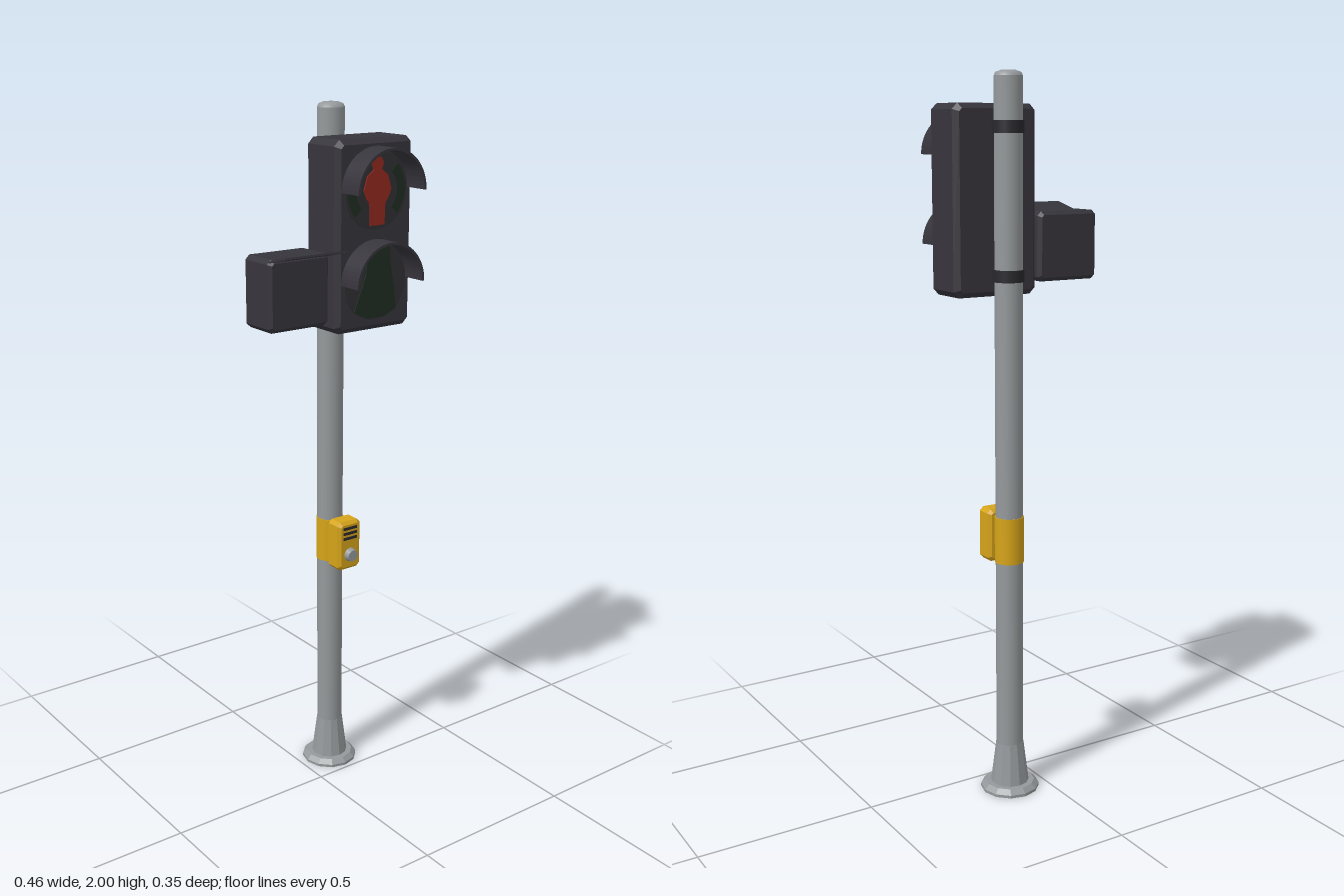
import * as THREE from 'three';

const paint = (name, color, extra = {}) => {
  const m = new THREE.MeshStandardMaterial({ color, ...extra });
  m.name = name;
  return m;
};

// Box with chamfered edges and corners, centred on its own origin
function chamferBox(w, h, d, b) {
  const x = w / 2 - b, y = h / 2 - b, c = b * 0.6;
  const s = new THREE.Shape([
    [-x + c, -y], [x - c, -y], [x, -y + c], [x, y - c],
    [x - c, y], [-x + c, y], [-x, y - c], [-x, -y + c],
  ].map(([px, py]) => new THREE.Vector2(px, py)));
  const g = new THREE.ExtrudeGeometry(s, {
    depth: d - 2 * b, bevelEnabled: true, bevelSize: b, bevelThickness: b, bevelSegments: 1,
  });
  g.translate(0, 0, -d / 2 + b);
  return g;
}

const plate = (points, depth = 0.003) => new THREE.ExtrudeGeometry(
  new THREE.Shape(points.map(([x, y]) => new THREE.Vector2(x, y))), { depth, bevelEnabled: false });

// Flat ring sector, extruded forward
function arcBand(r0, r1, a0, a1, depth) {
  const s = new THREE.Shape();
  s.absarc(0, 0, r1, a0, a1, false);
  s.absarc(0, 0, r0, a1, a0, true);
  return new THREE.ExtrudeGeometry(s, { depth, bevelEnabled: false, curveSegments: 16 });
}

export function createModel() {
  const root = new THREE.Group();
  root.name = 'pedestrianSignal';
  const steel = paint('steel', 0x95999b);
  const steelFlat = steel;
  const housing = paint('darkHousing', 0x37353c);
  const lensDark = paint('lensDark', 0x302f34);
  const black = paint('blackFittings', 0x29282d);
  const red = paint('signalRed', 0x94291f);
  const green = paint('unlitGreen', 0x1f2e22);
  const yellow = paint('yellow', 0xd6a419);

  const add = (name, geo, mat, x = 0, y = 0, z = 0, parent = root) => {
    const m = new THREE.Mesh(geo, mat);
    m.name = name;
    m.position.set(x, y, z);
    parent.add(m);
    return m;
  };
  const PX = 0.102, PZ = -0.095;

  // Pole with a shallow domed cap
  add('pole', new THREE.CylinderGeometry(0.038, 0.038, 1.96, 24, 1, true), steel, PX, 1.005, PZ);
  const cap = [[0.038, 1.985], [0.034, 1.994], [0.02, 1.999], [0, 2]].map(p => new THREE.Vector2(...p));
  add('poleCap', new THREE.LatheGeometry(cap, 24), steel, PX, 0, PZ);

  // Faceted foot: flange and tapered sleeve
  const foot = [[0, 0], [0.083, 0], [0.083, 0.008], [0.07, 0.021], [0.054, 0.021], [0.039, 0.14], [0.037, 0.14]]
    .map(p => new THREE.Vector2(...p));
  const footGeo = new THREE.LatheGeometry(foot, 12).toNonIndexed();
  footGeo.computeVertexNormals();
  add('poleFoot', footGeo, steelFlat, PX, 0, PZ);

  // Signal head
  const head = new THREE.Group();
  head.name = 'signalHead';
  root.add(head);
  add('headHousing', chamferBox(0.255, 0.508, 0.14, 0.014), housing, PX, 1.664, 0.033, head);
  for (const [name, y] of [['upper', 1.785], ['lower', 1.543]]) {
    const lens = new THREE.CylinderGeometry(0.104, 0.104, 0.004, 32);
    lens.rotateX(Math.PI / 2);
    add(name + 'Lens', lens, lensDark, PX, y, 0.104, head);
    add(name + 'Visor', arcBand(0.106, 0.113, 0, Math.PI, 0.075), housing, PX, y, 0.1, head);
  }

  // Standing figure, with side arcs
  const half = [[0.012, 0.085], [0.019, 0.07], [0.014, 0.052], [0.034, 0.038], [0.046, 0.0],
    [0.036, -0.022], [0.026, -0.035], [0.024, -0.092]];
  const standing = [...half, ...half.map(([x, y]) => [-x, y]).reverse()].reverse();
  add('standingFigure', plate(standing), red, PX + 0.002, 1.785, 0.106, head);
  for (const a of [0, Math.PI]) {
    add('sideArc', arcBand(0.068, 0.096, a - 0.75, a + 0.75, 0.002), green, PX, 1.785, 0.105, head);
  }

  // Walking figure
  add('walkingFigure', plate([
    [-0.072, -0.075], [-0.03, -0.098], [0.03, -0.098], [0.07, -0.08], [0.062, -0.02],
    [0.05, 0.04], [0.046, 0.092], [0.0, 0.1], [-0.026, 0.09], [-0.034, 0.02],
  ]), green, PX, 1.543, 0.106, head);

  // Clamps holding the head to the pole
  for (const y of [1.857, 1.471]) {
    add('clampCollar', new THREE.CylinderGeometry(0.042, 0.042, 0.032, 24), black, PX, y, PZ);
    add('clampArm', new THREE.BoxGeometry(0.04, 0.03, 0.05), black, PX, y, -0.05);
  }

  // Side unit with a raised front flap
  const side = new THREE.Group();
  side.name = 'sideUnit';
  root.add(side);
  add('sideBox', chamferBox(0.193, 0.192, 0.118, 0.01), housing, -0.1365, 1.536, 0.034, side);
  const flap = add('sideFlap', new THREE.BoxGeometry(0.193, 0.005, 0.08), housing, -0.1365, 1.637, 0.13, side);
  flap.rotation.x = -0.24;

  // Push-button unit strapped to the pole
  const push = new THREE.Group();
  push.name = 'pushButtonUnit';
  root.add(push);
  add('strap', new THREE.CylinderGeometry(0.0405, 0.0405, 0.13, 24), yellow, PX, 0.743, PZ, push);
  add('buttonBox', chamferBox(0.082, 0.15, 0.059, 0.009), yellow, PX, 0.745, -0.025, push);
  const btn = new THREE.CylinderGeometry(0.017, 0.021, 0.016, 16);
  btn.rotateX(Math.PI / 2);
  add('button', btn, steel, PX, 0.717, 0.012, push);
  for (let i = 0; i < 3; i++) {
    add('slot', new THREE.BoxGeometry(0.048, 0.008, 0.003), black, PX, 0.8 - i * 0.0155, 0.005, push);
  }
  return root;
}
